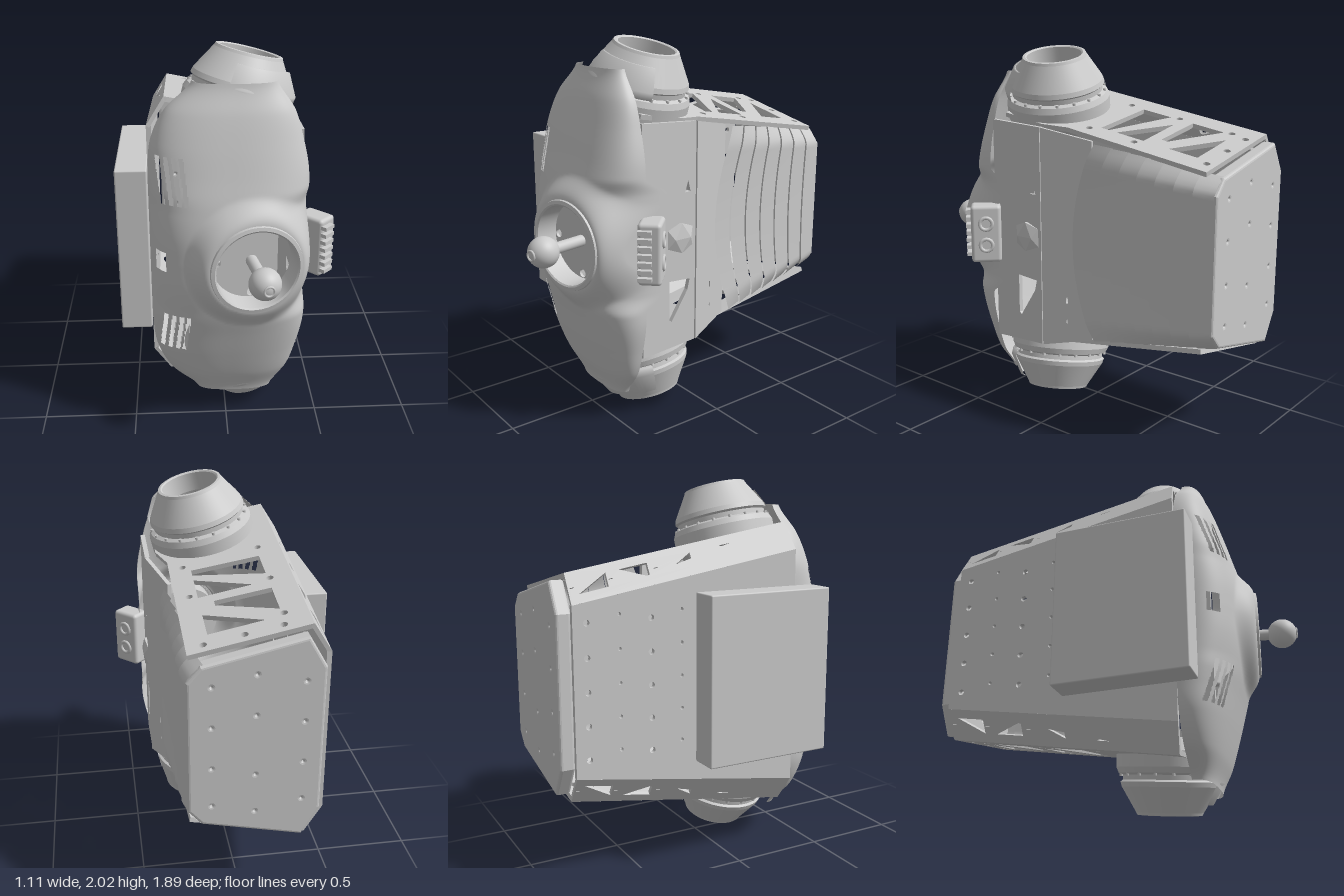
import * as THREE from 'three';
import { RoundedBoxGeometry } from 'three/addons/geometries/RoundedBoxGeometry.js';

const V3 = (x, y, z) => new THREE.Vector3(x, y, z);
const mat = new THREE.MeshStandardMaterial({ color: 0xcccccc, side: THREE.DoubleSide });

function mesh(name, geo, parent, x = 0, y = 0, z = 0) {
  const m = new THREE.Mesh(geo, mat);
  m.name = name;
  m.position.set(x, y, z);
  parent.add(m);
  return m;
}

const poly = (pts, Type = THREE.Path) => new Type(pts.map(p => new THREE.Vector2(p[0], p[1])));
const dot = (x, y, r) => new THREE.Path().absarc(x, y, r, 0, Math.PI * 2, true);
const flip = pts => pts.map(p => [p[0], -p[1]]);

// Flat sheet with holes, drawn in the plane origin + u*U + v*V and thickened along U x V
function plate(name, parent, outline, holes, origin, U, V, depth = 0.025) {
  const shape = poly(outline, THREE.Shape);
  shape.holes.push(...holes);
  const geo = new THREE.ExtrudeGeometry(shape, { depth, bevelEnabled: false, curveSegments: 20 });
  const N = U.clone().cross(V).normalize();
  geo.applyMatrix4(new THREE.Matrix4().makeBasis(U, V, N).setPosition(origin));
  return mesh(name, geo, parent);
}

// Grid surface from a point function; cells for which skip(centre) is true are left open
function gridSurface(nu, nv, fn, skip = () => false) {
  const pos = [], idx = [], pts = [];
  for (let j = 0; j <= nv; j++) for (let i = 0; i <= nu; i++) {
    const p = fn(i / nu, j / nv);
    pts.push(p);
    pos.push(p.x, p.y, p.z);
  }
  for (let j = 0; j < nv; j++) for (let i = 0; i < nu; i++) {
    const a = j * (nu + 1) + i, b = a + 1, d = a + nu + 1, c = d + 1;
    if (!skip(pts[a].clone().add(pts[c]).multiplyScalar(0.5))) idx.push(a, b, c, a, c, d);
  }
  const g = new THREE.BufferGeometry();
  g.setAttribute('position', new THREE.Float32BufferAttribute(pos, 3));
  g.setIndex(idx);
  g.computeVertexNormals();
  return g;
}

// Smooth curve through evenly spaced values
const track = values => {
  const c = new THREE.SplineCurve(values.map((v, i) => new THREE.Vector2(i, v)));
  return t => c.getPoint(Math.min(t, 1)).y;
};
const lathe = (pts, seg = 48) => new THREE.LatheGeometry(pts.map(p => new THREE.Vector2(p[0], p[1])), seg);

// Crisp-edged lathe: every profile segment is its own band
function bands(name, parent, pts) {
  for (let i = 0; i + 1 < pts.length; i++) mesh(name, lathe([pts[i], pts[i + 1]]), parent);
}

function frontShell(root) {
  const H = 0.87;
  const left = track([-0.39, -0.39, -0.39, -0.388, -0.37, -0.30, -0.16]);
  const right = track([0.42, 0.42, 0.42, 0.415, 0.385, 0.34, 0.25]);
  const front = track([0.70, 0.695, 0.67, 0.63, 0.59, 0.545, 0.49]);
  const point = (u, v) => {
    const y = (v * 2 - 1) * H, t = Math.abs(y), k = t / H, a = u * Math.PI;
    const L = left(k), R = right(k), c = Math.cos(a);
    const x = (L + R) / 2 - (R - L) / 2 * Math.sign(c) * Math.abs(c) ** 0.75;
    const edge = 0.29 + 0.13 * THREE.MathUtils.smoothstep(t, 0.26, 0.36);
    const back = THREE.MathUtils.lerp(0.40, edge, u);
    let z = back + (front(k) - back) * Math.sin(a) ** 0.75;
    // flare up to the tilted neck rim
    const w = 1 - THREE.MathUtils.smoothstep(Math.hypot(x - 0.14, y), 0.23, 0.36);
    z = THREE.MathUtils.lerp(z, 0.72 - 0.174 * (x - 0.14), w);
    return V3(x, 1 + y, z);
  };
  const open = p => {
    const t = Math.abs(p.y - 1);
    if (p.z > 0.5 && Math.hypot(p.x - 0.14, t) < 0.222) return true;
    if (Math.abs(p.x + 0.33) < 0.025 && t < 0.05) return true;
    return Math.abs(t - 0.42) < 0.115 && [-0.325, -0.285, -0.245, -0.21].some(
      s => Math.abs(p.x - s + 0.12 * (t - 0.42)) < 0.011);
  };
  mesh('frontShell', gridSurface(160, 130, point, open), root);
}

function neck(root) {
  const g = new THREE.Group();
  g.name = 'neckSocket';
  g.position.set(0.14, 1, 0.725);
  g.rotation.set(Math.PI / 2, 0, -0.174, 'YXZ');
  g.rotation.set(0, 0.174, 0);
  root.add(g);
  const ring = new THREE.Group();
  ring.rotation.x = Math.PI / 2;
  g.add(ring);
  bands('neckRim', ring, [[0.205, -0.12], [0.208, 0.004], [0.216, 0.01], [0.234, 0.006], [0.243, -0.03]]);
  // cut-away disc behind the rim
  const holes = [[0, 0.18], [0, -0.18], [-0.18, 0]].map(p => dot(p[0], p[1], 0.022));
  const arc = new THREE.Path().absarc(0, 0, 0.206, 0.85, Math.PI * 2 - 0.85).getPoints(40).map(p => [p.x, p.y]);
  plate('neckDisc', g, arc, holes, V3(0, 0, -0.13), V3(1, 0, 0), V3(0, 1, 0), 0.015);
  // post and ball
  const post = mesh('neckPost', new THREE.CylinderGeometry(0.03, 0.03, 0.5, 24), g, 0, 0, -0.13);
  post.rotation.x = Math.PI / 2;
  mesh('neckBall', new THREE.SphereGeometry(0.08, 32, 24), g, 0, 0, 0.136);
  mesh('neckBallSocket', new THREE.TorusGeometry(0.025, 0.006, 8, 24), g, 0, 0, 0.213);
}

function shoulder(side) {
  const g = new THREE.Group();
  g.name = 'shoulderCollar';
  g.position.set(0.13, 1.96, 0.2);
  g.quaternion.setFromUnitVectors(V3(0, 1, 0), V3(0.24, 0.96, -0.1).normalize());
  bands('collarRing', g, [[0.15, -0.10], [0.15, 0], [0.158, 0.006], [0.172, 0.004], [0.178, -0.01], [0.255, -0.14],
    [0.262, -0.165], [0.25, -0.175], [0.25, -0.20], [0.272, -0.21], [0.285, -0.24], [0.285, -0.32], [0.24, -0.39], [0.21, -0.39]]);
  // raised guard segment and bolts
  mesh('collarGuard', new THREE.LatheGeometry([[0.215, -0.05], [0.228, -0.05], [0.288, -0.16], [0.282, -0.2], [0.25, -0.2]]
    .map(p => new THREE.Vector2(...p)), 20, -0.3, 1.5), g);
  for (let i = 0; i < 18; i++) {
    const a = i / 18 * Math.PI * 2;
    mesh('collarBolt', new THREE.CylinderGeometry(0.009, 0.009, 0.02, 8), g, 0.262 * Math.cos(a), -0.205, 0.262 * Math.sin(a));
  }
  side.add(g);
}

function chassisHalf(side) {
  const along = V3(0, 0.17, 1);
  // sloped truss plate with an opening under the collar
  const cuts = [
    [[-0.10, -0.75], [0.17, -0.75], [0.17, -0.585]], [[-0.18, -0.72], [0.10, -0.53], [0.10, -0.49], [-0.18, -0.50]],
    [[-0.10, -0.43], [0.17, -0.43], [0.17, -0.26]], [[-0.18, -0.39], [0.17, -0.21], [0.17, -0.16], [-0.18, -0.18]]];
  const bolts = [[-0.19, -0.73], [-0.19, -0.41 + 0.0], [-0.19, -0.09], [0.21, -0.4], [0.21, -0.11], [0.2, -0.82], [-0.17, -0.82], [0.01, -0.82]];
  cuts[1][0][1] = -0.69; cuts[1][3][1] = -0.5; cuts[3][0][1] = -0.36;
  plate('trussPlate', side, [[-0.30, -0.87], [0.28, -0.87], [0.28, -0.02], [0.33, 0.12], [0.33, 0.38], [-0.30, 0.38]],
    [...cuts.map(c => poly(c)), ...bolts.map(b => dot(b[0], b[1], 0.018)), dot(0.06, 0.17, 0.205)],
    V3(0, 1.658, 0), V3(1, -0.207, 0), along);
  // narrow chamfer plate with alternating triangles
  const tri = [];
  [-0.82, -0.60, -0.36, -0.04, 0.14].forEach((z, i) => {
    const w = 0.15, up = i % 2 ? 0.72 : 0.28;
    tri.push(poly([[up, z], [1 - up, z + w], [up, z + w]]), dot(0.5, z - 0.05 + (i ? 0 : 0.02), 0.012));
  });
  plate('chamferPlate', side, [[0, -0.87], [1, -0.87], [1, 0.38], [0, 0.40]], tri,
    V3(-0.39, 1.575, 0), V3(0.09, 0.145, 0), along, 0.02);
}

function sidePlates(root) {
  // outer wall on the right with bolt holes
  const holes = [];
  for (let i = 0; i < 7; i++) for (let j = -2; j <= 2; j++)
    holes.push(dot(-0.8 + i * 0.17, j * 0.17 + (i % 2 ? 0.03 : 0), i % 2 ? 0.01 : 0.016));
  plate('rightWall', root, [[-0.87, -0.427], [0.4, -0.643], [0.4, 0.643], [-0.87, 0.427]], holes,
    V3(-0.365, 1, 0), V3(0, 0, 1), V3(0, 1, 0));
  // flat and slanted panels on the left
  const win = [[-0.235, 0.46], [-0.13, 0.30], [-0.115, 0.24], [-0.25, 0.23], [-0.25, 0.45]];
  const small = [0.30, 0.38].flatMap(y => [y, -y]).map(y => dot(-0.36, y, 0.01));
  plate('leftPanel', root, [[-0.42, -0.62], [-0.08, -0.60], [-0.08, 0.60], [-0.42, 0.62]],
    [poly(win), poly(flip(win)), ...small], V3(0.365, 1, 0), V3(0, 0, -1), V3(0, 1, 0));
  plate('leftSlantPanel', root, [[0, -0.60], [1, -0.54], [1, 0.54], [0, 0.60]],
    [-0.45, -0.33, -0.17, 0.17, 0.33, 0.45].map(y => dot(0.5, y, Math.abs(y) === 0.33 ? 0.02 : 0.012)),
    V3(0.372, 1, 0.08), V3(-0.095, 0, -0.27), V3(0, 1, 0), 0.022);
  // faceted boss on the left panel
  const boss = mesh('facetedBoss', new THREE.IcosahedronGeometry(0.095, 0), root, 0.39, 1, 0.18);
  boss.scale.x = 0.33;
}

// Overlapping curved slats on the left of the rear section
function rearSlats(root) {
  const n = 7, lerp = THREE.MathUtils.lerp;
  for (let b = 0; b < n; b++) {
    const fn = (u, v) => {
      const s = (b + u * 1.03) / n, e = v * 2 - 1, q = Math.abs(e);
      const Y = lerp(0.53, 0.43, s) * e;
      const z = lerp(-0.1 - 0.13 * e * e, -0.925, Math.min(s, 1));
      const bend = Math.max(0, (q - 0.8) / 0.2);
      return V3(lerp(0.325, 0.295, s) + 0.014 * (1 - u) - lerp(0.02, 0.08, s) * bend ** 1.5, 1 + Y, z);
    };
    mesh('rearSlat', gridSurface(2, 40, fn), root);
  }
}

function rearPlate(root) {
  const half = [[0.28, 0.34], [0.22, 0.41], [-0.26, 0.52], [-0.34, 0.38]];
  const shape = poly([...half, ...flip(half).reverse()], THREE.Shape);
  for (const x of [-0.26, -0.03, 0.18]) for (const y of [-0.32, -0.11, 0.11, 0.32])
    shape.holes.push(dot(x, y + (x === -0.03 ? 0.05 * Math.sign(y) : 0), 0.018));
  const geo = new THREE.ExtrudeGeometry(shape, { depth: 0.05, bevelSize: 0.015, bevelThickness: 0.015, bevelSegments: 3, curveSegments: 10 });
  mesh('rearPlate', geo, root, 0, 1, -0.925);
}

function connectorBox(root) {
  const g = new THREE.Group();
  g.name = 'connectorBox';
  g.position.set(0.465, 1, 0.42);
  g.rotation.y = Math.PI / 4;
  root.add(g);
  mesh('connectorBody', new RoundedBoxGeometry(0.12, 0.32, 0.165, 3, 0.02), g);
  for (const y of [-0.06, 0.06]) {
    const ring = mesh('connectorPort', new THREE.TorusGeometry(0.034, 0.01, 8, 16), g, 0.06, y, 0);
    ring.rotation.y = Math.PI / 2;
  }
  for (let i = 0; i < 7; i++)
    mesh('coolingFin', new THREE.BoxGeometry(0.07, 0.02, 0.04), g, -0.02, -0.12 + i * 0.04, 0.09);
}

export function createModel() {
  const root = new THREE.Group();
  root.name = 'torso';
  frontShell(root);
  neck(root);
  // upper half parts, and the same mirrored about y = 1
  for (const s of [1, -1]) {
    const side = new THREE.Group();
    side.name = s > 0 ? 'upperHalf' : 'lowerHalf';
    side.scale.y = s;
    side.position.y = s > 0 ? 0 : 2;
    shoulder(side);
    chassisHalf(side);
    root.add(side);
  }
  sidePlates(root);
  rearSlats(root);
  rearPlate(root);
  connectorBox(root);
  // pack on the right wall
  mesh('sidePack', new RoundedBoxGeometry(0.16, 0.89, 0.72, 2, 0.008), root, -0.47, 1.005, 0.15);
  return root;
}
